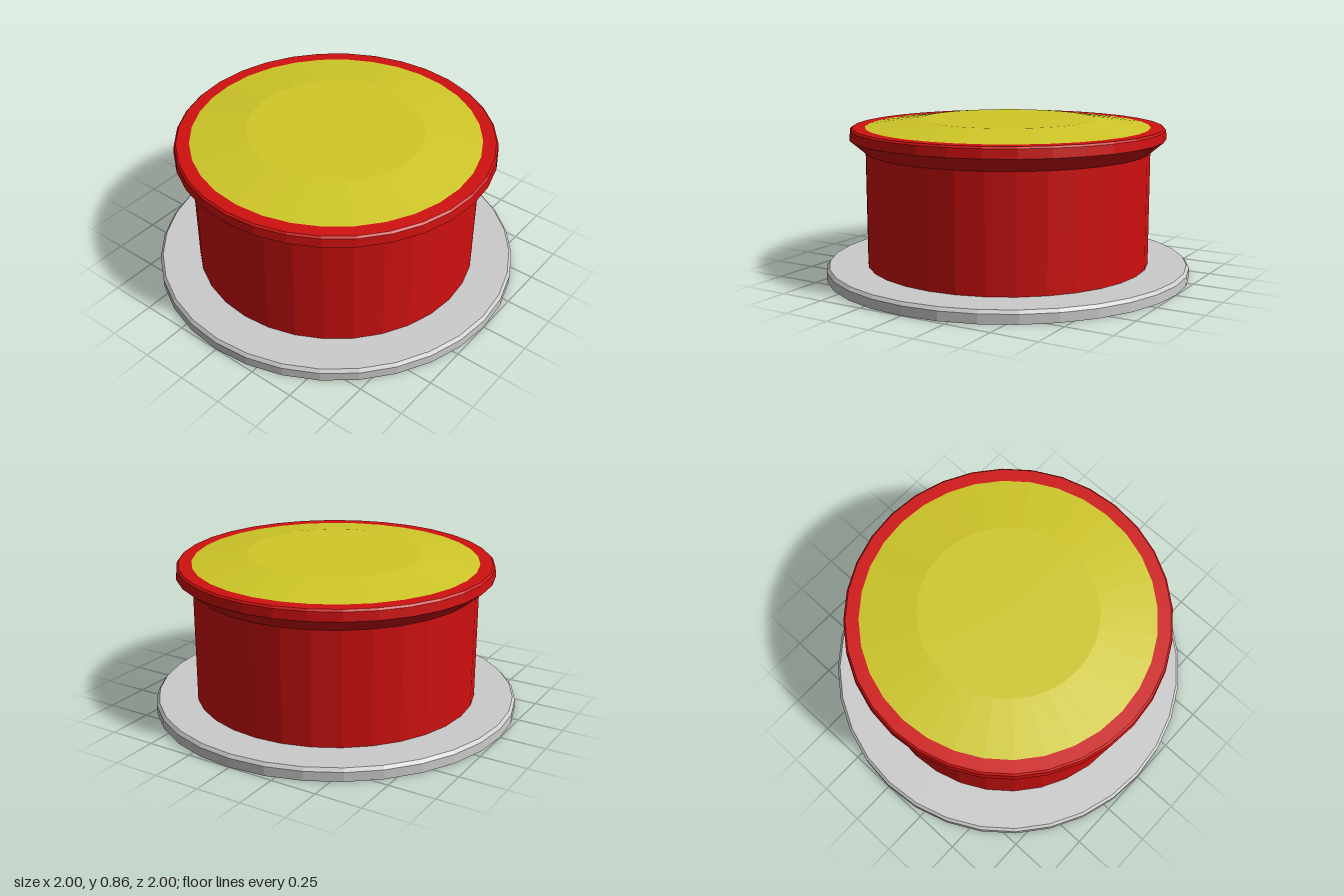
import * as THREE from 'three';

const SIDES = 32;

// Faceted turned part from a bottom-to-top profile of [radius, height] pairs
function turned(name, color, profile) {
  const points = profile.map(([r, y]) => new THREE.Vector2(r, y));
  const material = new THREE.MeshStandardMaterial({ color, flatShading: true });
  const mesh = new THREE.Mesh(new THREE.LatheGeometry(points, SIDES), material);
  mesh.name = name;
  return mesh;
}

export function createModel() {
  const model = new THREE.Group();
  model.name = 'roundButton';

  // Flat base plate with a small bevel
  model.add(turned('basePlate', 0xcccccc, [
    [0, 0], [1, 0], [1, 0.05], [0.985, 0.067], [0, 0.067],
  ]));

  // Drum body flaring out to a bevelled rim
  model.add(turned('body', 0xd01010, [
    [0.775, 0.067], [0.775, 0.685], [0.86, 0.757], [0.855, 0.805], [0.845, 0.815], [0.775, 0.815],
  ]));

  // Shallow raised cap with a flat centre
  model.add(turned('cap', 0xd0c828, [
    [0.775, 0.815], [0.475, 0.855], [0, 0.855],
  ]));

  return model;
}
